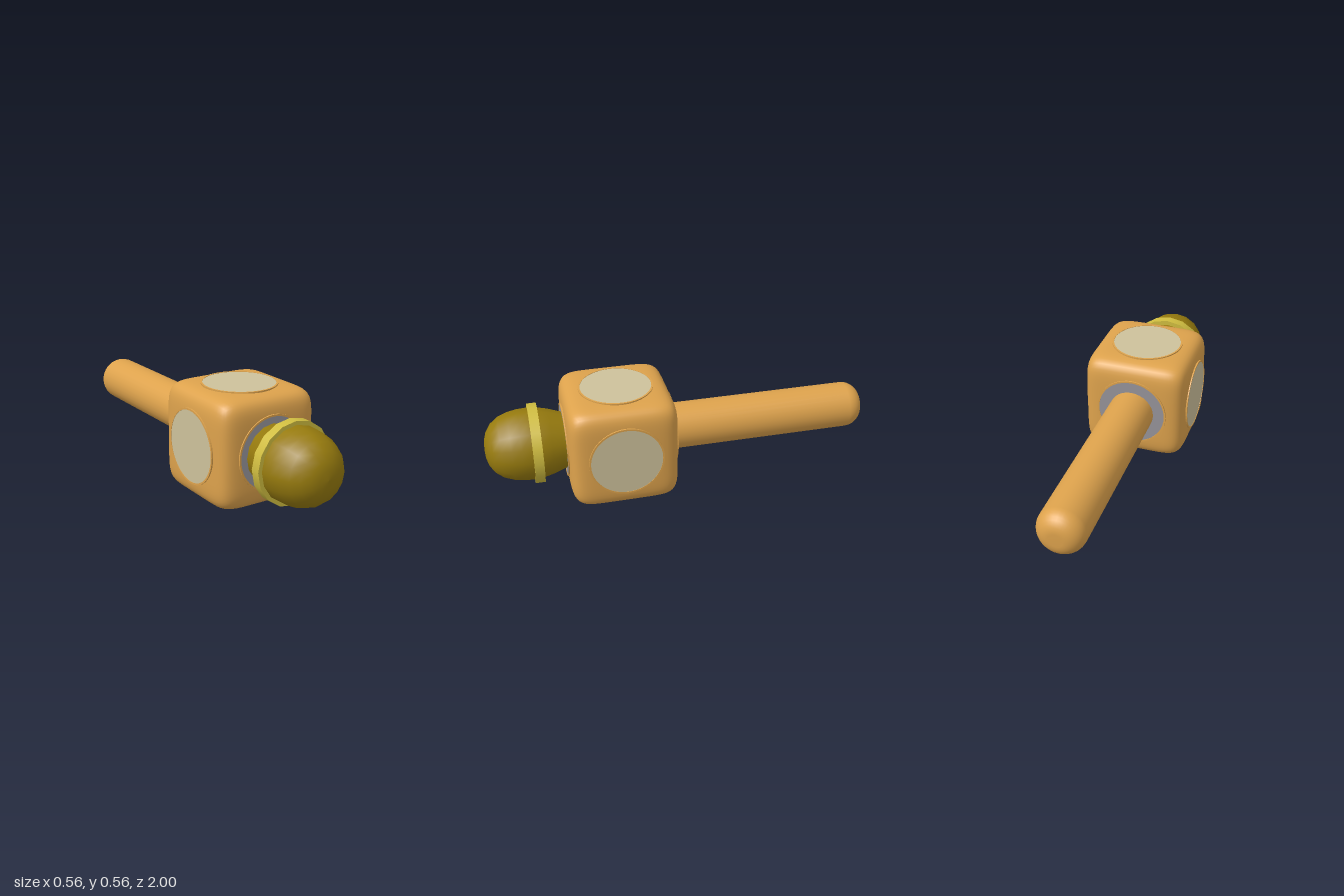
import * as THREE from 'three';

const CENTRE = new THREE.Vector3(0, 0.28, 0.325); // middle of the block
const HALF = 0.275;                               // half width of the block
const POWER = 7;                                  // squareness of the block

const material = (name, color, side = THREE.FrontSide) => {
  const m = new THREE.MeshStandardMaterial({ color, side });
  m.name = name;
  return m;
};

// Cube whose edges and corners are softened by a superellipsoid rule
function softCube() {
  const g = new THREE.BoxGeometry(2, 2, 2, 24, 24, 24);
  const p = g.attributes.position, n = g.attributes.normal;
  const v = new THREE.Vector3();
  for (let i = 0; i < p.count; i++) {
    v.fromBufferAttribute(p, i);
    const len = Math.pow(
      Math.abs(v.x) ** POWER + Math.abs(v.y) ** POWER + Math.abs(v.z) ** POWER, 1 / POWER);
    v.divideScalar(len);
    p.setXYZ(i, v.x * HALF, v.y * HALF, v.z * HALF);
    const slope = (c) => Math.sign(c) * Math.abs(c) ** (POWER - 1);
    v.set(slope(v.x), slope(v.y), slope(v.z)).normalize();
    n.setXYZ(i, v.x, v.y, v.z);
  }
  return g;
}

// Turned shape along z, from [radius, z] points with z rising
function turned(points, sides) {
  const g = new THREE.LatheGeometry(points.map(([r, z]) => new THREE.Vector2(r, z)), sides);
  return g.rotateX(Math.PI / 2);
}

export function createModel() {
  const wood = material('wood', 0xdda24c);
  const olive = material('olive', 0x977b0e);
  const yellow = material('yellow', 0xd0bd40);
  const cream = material('cream', 0xcdc19b);
  const grey = material('grey', 0x96949a);

  const model = new THREE.Group();
  model.name = 'model';
  const add = (name, geometry, mat, parent = model) => {
    const mesh = new THREE.Mesh(geometry, mat);
    mesh.name = name;
    parent.add(mesh);
    return mesh;
  };

  // Block
  add('block', softCube(), wood).position.copy(CENTRE);

  // A raised rim with an inlaid disc on each of the six faces
  const rim = new THREE.ExtrudeGeometry(
    (() => {
      const s = new THREE.Shape().absarc(0, 0, 0.188, 0, Math.PI * 2);
      s.holes.push(new THREE.Path().absarc(0, 0, 0.179, 0, Math.PI * 2, true));
      return s;
    })(), { depth: 0.03, bevelEnabled: false, curveSegments: 24 }).translate(0, 0, 0.25);
  const disc = new THREE.CircleGeometry(0.18, 48).translate(0, 0, 0.278);
  const faces = [
    ['front', 0, 0, grey], ['back', 0, Math.PI, grey],
    ['left', 0, Math.PI / 2, cream], ['right', 0, -Math.PI / 2, cream],
    ['top', -Math.PI / 2, 0, cream], ['bottom', Math.PI / 2, 0, cream],
  ];
  for (const [name, rx, ry, mat] of faces) {
    const inlay = new THREE.Group();
    inlay.name = name + 'Inlay';
    inlay.position.copy(CENTRE);
    inlay.rotation.set(rx, ry, 0);
    add('rim', rim, wood, inlay);
    add('disc', disc, mat, inlay);
    model.add(inlay);
  }

  // Handle with a rounded end
  const handlePoints = [[0, -1]];
  for (let i = 0; i <= 8; i++) {
    const a = (i / 8) * Math.PI / 2;
    handlePoints.push([0.035 + 0.085 * Math.sin(a), -0.915 - 0.085 * Math.cos(a)]);
  }
  handlePoints.push([0.12, 0.06]);
  add('handle', turned(handlePoints, 32), wood).position.y = CENTRE.y;

  // Bulb-shaped nose
  const nose = [
    [0.143, 0.59], [0.15, 0.62], [0.168, 0.67], [0.18, 0.72], [0.185, 0.77], [0.183, 0.82],
    [0.174, 0.87], [0.155, 0.92], [0.124, 0.96], [0.085, 0.985], [0.045, 0.997], [0, 1],
  ];
  add('nose', turned(nose, 16), olive).position.y = CENTRE.y;

  // Band around the nose
  const band = new THREE.CylinderGeometry(0.205, 0.205, 0.048, 16).rotateX(Math.PI / 2);
  add('band', band, yellow).position.set(0, CENTRE.y, 0.745);

  return model;
}
